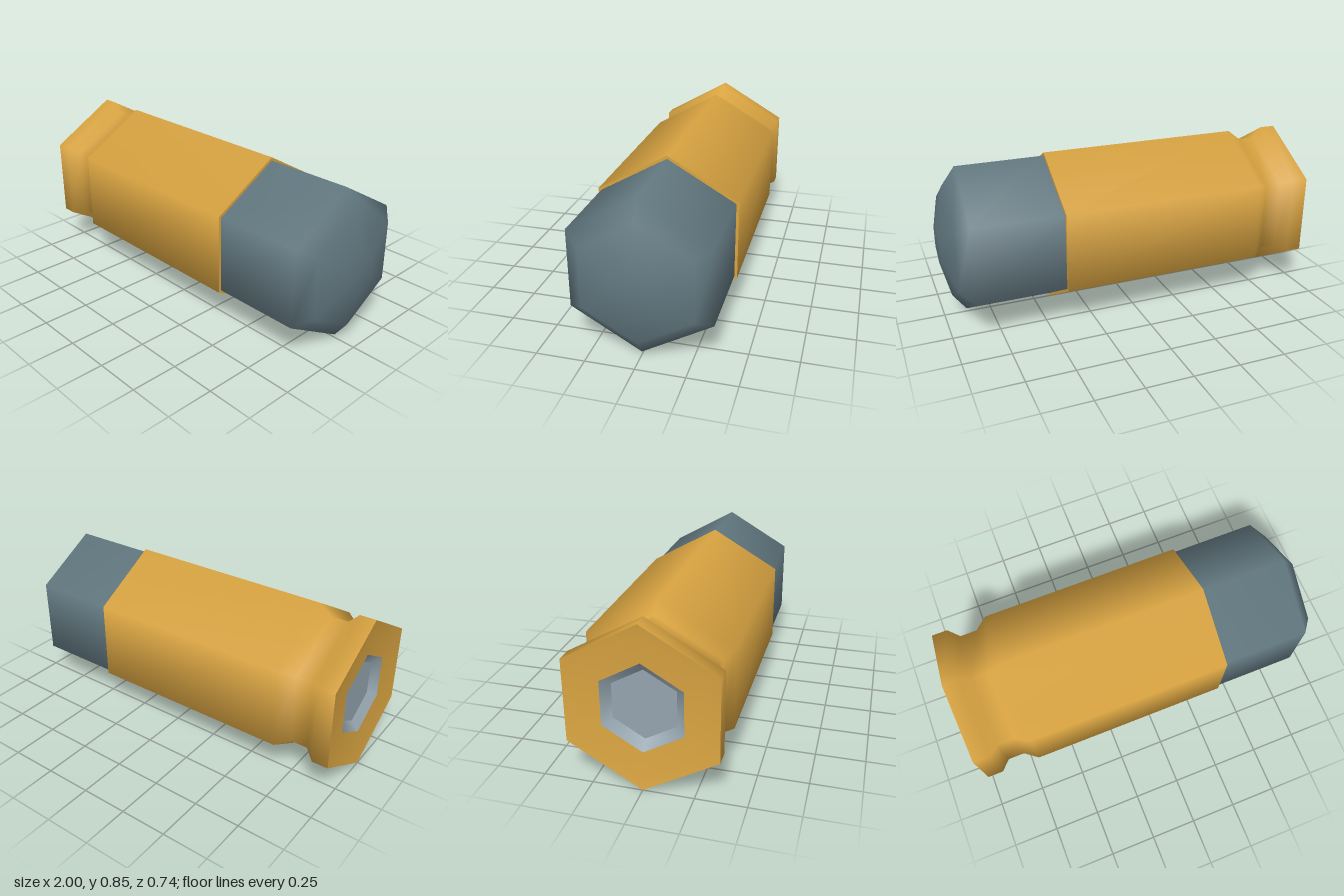
import * as THREE from 'three';

const brass = new THREE.MeshStandardMaterial({ color: 0xd9a441 });
brass.name = 'brass';
const steel = new THREE.MeshStandardMaterial({ color: 0x627880 });
steel.name = 'blue grey metal';
const silver = new THREE.MeshStandardMaterial({ color: 0x94a4ae });
silver.name = 'silver';

const CENTRE_Y = 0.43;

// Six-sided turned part lying along x; profile is [x, radius] with x along the axis
function turned(name, profile, material) {
  const points = profile.map(([x, r]) => new THREE.Vector2(r, x));
  const geometry = new THREE.LatheGeometry(points, 6, Math.PI / 2);
  geometry.rotateZ(-Math.PI / 2);
  geometry.translate(0, CENTRE_Y, 0);
  const mesh = new THREE.Mesh(geometry, material);
  mesh.name = name;
  return mesh;
}

export function createModel() {
  const group = new THREE.Group();
  group.name = 'cartridge';

  // Case wall with the groove ahead of the rear rim
  group.add(turned('caseWall', [
    [-1, 0.427], [-0.915, 0.427], [-0.86, 0.372], [-0.77, 0.372], [-0.7, 0.427], [0.41, 0.427],
  ], brass));

  // Rear face, slightly dished towards the primer pocket
  group.add(turned('caseBase', [[-0.98, 0.23], [-0.99, 0.36], [-1, 0.427]], brass));

  // Thin lip at the mouth
  group.add(turned('caseMouth', [[0.41, 0.427], [0.41, 0.38]], brass));

  // Sunken primer in the rear face
  group.add(turned('primerCup', [[-0.94, 0.18], [-0.98, 0.23]], silver));
  group.add(turned('primerFace', [[-0.94, 0], [-0.94, 0.18]], silver));

  // Projectile with a blunt tapered nose
  group.add(turned('projectile', [
    [0.4, 0.41], [0.88, 0.41], [0.95, 0.315], [1, 0.11], [1, 0],
  ], steel));

  return group;
}
